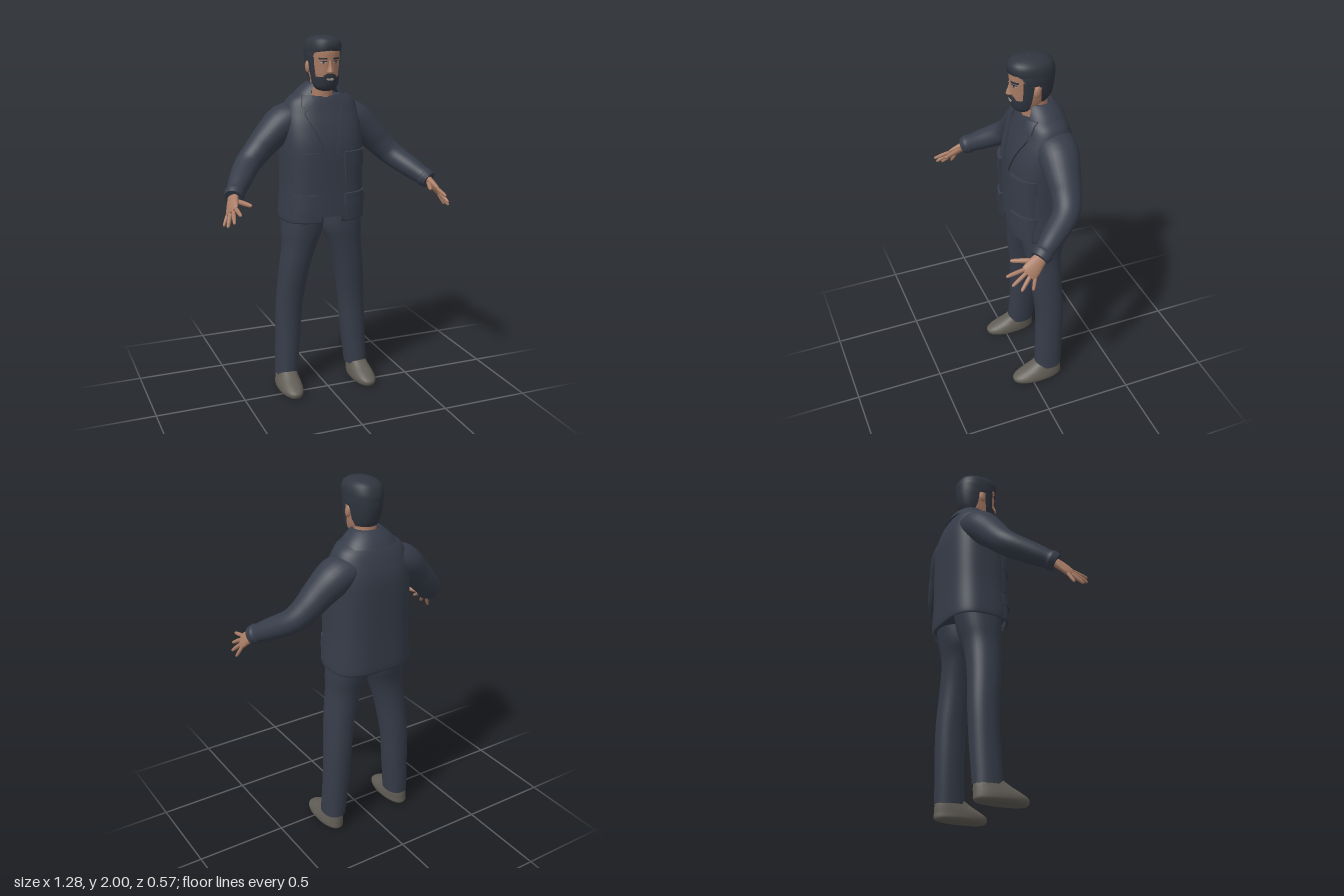
import * as THREE from 'three';
import { toCreasedNormals } from 'three/addons/utils/BufferGeometryUtils.js';

const mat = (name, color, side = THREE.FrontSide) => {
  const m = new THREE.MeshStandardMaterial({ color, side });
  m.name = name;
  return m;
};

// Catmull-Rom smoothing of a table of rows, every column alike
function smooth(rows, n = 4) {
  const out = [], last = rows.length - 1;
  for (let i = 0; i < last; i++) {
    const [a, b, c, d] = [rows[Math.max(i - 1, 0)], rows[i], rows[i + 1], rows[Math.min(i + 2, last)]];
    for (let k = 0; k < n; k++) {
      const t = k / n;
      out.push(b.map((v, j) => v + 0.5 * t * (c[j] - a[j] + t * (2 * a[j] - 5 * v + 4 * c[j] - d[j] + t * (3 * (v - c[j]) + d[j] - a[j])))));
    }
  }
  out.push(rows[last]);
  return out;
}

// Surface through rings of points; optionally closed around and capped
function loft(rings, closed = true, caps = true) {
  const pos = [], idx = [], n = rings[0].length;
  rings.forEach(r => r.forEach(p => pos.push(...p)));
  for (let i = 0; i < rings.length - 1; i++) {
    for (let j = 0; j < (closed ? n : n - 1); j++) {
      const k = (j + 1) % n, a = i * n + j, b = i * n + k;
      idx.push(a, b, a + n, b, b + n, a + n);
    }
  }
  if (caps) [rings[0], rings[rings.length - 1]].forEach((r, e) => {
    const s = pos.length / 3;
    r.forEach(p => pos.push(...p));
    pos.push(...[0, 1, 2].map(c => r.reduce((t, p) => t + p[c], 0) / n));
    for (let j = 0; j < n; j++) {
      const k = (j + 1) % n;
      e ? idx.push(s + n, s + j, s + k) : idx.push(s + n, s + k, s + j);
    }
  });
  const g = new THREE.BufferGeometry();
  g.setAttribute('position', new THREE.Float32BufferAttribute(pos, 3));
  g.setIndex(idx);
  g.computeVertexNormals();
  return g;
}

// Level superellipse ring. Row: [y, centreX, halfWidth, frontZ, backZ, power, opening]
const spow = (v, e) => Math.sign(v) * Math.abs(v) ** e;
function arc([y, cx, hw, zf, zb, p = 2.2], a0, a1, n, off = 0) {
  return Array.from({ length: n }, (_, i) => {
    const t = a0 + (a1 - a0) * i / (n - 1);
    return [cx + (hw + off) * spow(Math.sin(t), 2 / p), y,
      (zf + zb) / 2 + ((zf - zb) / 2 + off) * spow(Math.cos(t), 2 / p)];
  });
}
const body = (rows, off = 0, n = 32) => loft(rows.map(r => arc(r, 0, 2 * Math.PI, n + 1, off).slice(0, n)));
const openBody = (rows, angle) => loft(rows.map(r => arc(r, angle(r), 2 * Math.PI - angle(r), 49)), false, false);
const gapAngle = r => Math.asin((r[6] / r[2]) ** (r[5] / 2));

// Tapered limb along [x, y, z, radiusU, radiusV]; U leans towards ref
function limb(pts, ref, n = 20) {
  const rows = smooth(pts), v3 = r => new THREE.Vector3(r[0], r[1], r[2]);
  return loft(rows.map((r, i) => {
    const T = v3(rows[Math.min(i + 1, rows.length - 1)]).sub(v3(rows[Math.max(i - 1, 0)])).normalize();
    const U = new THREE.Vector3(...ref);
    U.addScaledVector(T, -U.dot(T)).normalize();
    const V = T.clone().cross(U);
    return Array.from({ length: n }, (_, j) => {
      const a = j / n * 2 * Math.PI;
      return v3(r).addScaledVector(U, Math.cos(a) * r[3]).addScaledVector(V, Math.sin(a) * r[4]).toArray();
    });
  }));
}

// Front depth of a body at (x, y)
function frontZ(rows, x, y) {
  let i = 0;
  while (i < rows.length - 2 && rows[i + 1][0] < y) i++;
  const t = THREE.MathUtils.clamp((y - rows[i][0]) / (rows[i + 1][0] - rows[i][0]), 0, 1);
  const [, cx, hw, zf, zb, p] = rows[i].map((v, j) => v + (rows[i + 1][j] - v) * t);
  const u = Math.min(Math.abs((x - cx) / hw), 1);
  return (zf + zb) / 2 + (zf - zb) / 2 * (1 - u ** p) ** (1 / p);
}

// Raised plate lying on the front of a body. Outline rows: [y, x0, x1]
function plate(rows, outline, thick) {
  const line = ([y, a, b], t) => {
    const xs = [a, ...Array.from({ length: 9 }, (_, i) => a + (b - a) * i / 8), b];
    return xs.map((x, i) => [x, y, frontZ(rows, x, y) + (i === 0 || i === 10 ? -0.004 : t)]);
  };
  const fine = smooth(outline, 3);
  const rings = [line(fine[0], -0.004), ...fine.map(r => line(r, thick)), line(fine[fine.length - 1], -0.004)];
  return toCreasedNormals(loft(rings, false, false), 0.7);
}

function mirror(geo) {
  const g = geo.index ? geo.toNonIndexed() : geo.clone();
  g.scale(-1, 1, 1);
  for (const a of Object.values(g.attributes)) {
    for (let i = 0; i < a.count; i += 3) {
      const b = [a.getX(i), a.getY(i), a.getZ(i)];
      a.setXYZ(i, a.getX(i + 1), a.getY(i + 1), a.getZ(i + 1));
      a.setXYZ(i + 1, ...b);
    }
  }
  return g;
}

const JACKET = smooth([
  [1.0, 0, 0.232, 0.052, -0.28, 2.8, 0.058], [1.03, 0, 0.237, 0.058, -0.286, 2.8, 0.056],
  [1.2, 0, 0.226, 0.056, -0.284, 2.8, 0.04], [1.4, 0, 0.226, 0.056, -0.286, 2.8, 0.03],
  [1.52, 0, 0.225, 0.035, -0.284, 2.6, 0.045], [1.6, 0, 0.212, 0.01, -0.266, 2.4, 0.07],
  [1.66, 0, 0.185, -0.01, -0.242, 2.3, 0.085], [1.7, 0, 0.13, -0.03, -0.212, 2.2, 0.08],
  [1.735, 0, 0.085, -0.045, -0.185, 2, 0.06]]);
const HEAD = smooth([
  [1.715, 0, 0.035, 0.0, -0.07, 2.2], [1.73, 0, 0.055, 0.016, -0.11, 2.2], [1.76, 0, 0.066, 0.026, -0.145, 2.2],
  [1.8, 0, 0.073, 0.032, -0.168, 2.2], [1.85, 0, 0.08, 0.034, -0.182, 2.2], [1.89, 0, 0.083, 0.038, -0.19, 2.2],
  [1.93, 0, 0.085, 0.035, -0.19, 2.2], [1.97, 0, 0.073, 0.012, -0.17, 2.2], [1.99, 0, 0.04, -0.03, -0.12, 2.2]]);

export function createModel() {
  const root = new THREE.Group();
  root.name = 'man';
  const cloth = mat('navy cloth', 0x363c49, THREE.DoubleSide);
  const hairM = mat('dark hair', 0x30353f, THREE.DoubleSide);
  const skin = mat('skin', 0xa97c65);
  const shoeM = mat('shoe grey', 0x615d56);
  const pale = mat('pale eye and lip', 0xb3a39a);
  const add = (name, geo, m) => {
    const mesh = new THREE.Mesh(geo, m);
    mesh.name = name;
    root.add(mesh);
  };
  const pair = (name, geo, m) => {
    add('left ' + name, geo, m);
    add('right ' + name, mirror(geo), m);
  };

  // Legs and shoes
  pair('trouser leg', body(smooth([
    [0.085, 0.217, 0.063, -0.03, -0.19], [0.3, 0.202, 0.07, -0.04, -0.2], [0.5, 0.19, 0.075, -0.04, -0.204],
    [0.7, 0.166, 0.083, -0.015, -0.196], [0.85, 0.135, 0.097, 0.0, -0.2],
    [0.95, 0.115, 0.117, 0.01, -0.225], [1.06, 0.11, 0.115, 0.01, -0.25]])), cloth);
  pair('shoe', body(smooth([
    [0, 0.223, 0.052, 0.095, -0.18], [0.012, 0.224, 0.064, 0.108, -0.19], [0.035, 0.224, 0.066, 0.108, -0.19],
    [0.06, 0.222, 0.062, 0.068, -0.19], [0.085, 0.22, 0.056, 0.015, -0.188], [0.115, 0.217, 0.05, -0.035, -0.18]])), shoeM);

  // Open jacket over a shirt
  add('jacket', openBody(JACKET, gapAngle), cloth);
  add('shirt', body(JACKET.filter(r => r[0] > 1.02 && r[0] < 1.685), -0.013, 40), cloth);
  add('collar', openBody(smooth([
    [1.675, 0, 0.155, -0.012, -0.246, 2.2, 0.095], [1.715, 0, 0.122, -0.025, -0.222, 2.2, 0.075],
    [1.75, 0, 0.08, -0.045, -0.186, 2.1, 0.055], [1.745, 0, 0.068, -0.055, -0.174, 2.1, 0.05],
    [1.69, 0, 0.062, -0.05, -0.17, 2.1, 0.05]]), gapAngle), cloth);
  pair('lapel', plate(JACKET, [[1.38, 0.03, 0.034], [1.5, 0.045, 0.085], [1.595, 0.068, 0.13],
    [1.615, 0.074, 0.105], [1.63, 0.078, 0.14], [1.69, 0.08, 0.125]], 0.01), cloth);
  for (const [name, y0, y1, x0, x1, t] of [
    ['upper pocket', 1.17, 1.33, 0.08, 0.208, 0.01], ['upper pocket flap', 1.305, 1.39, 0.074, 0.213, 0.019],
    ['lower pocket', 1.01, 1.13, 0.085, 0.213, 0.01], ['lower pocket flap', 1.09, 1.16, 0.078, 0.216, 0.019]])
    pair(name, plate(JACKET, [[y0, x0, x1], [y1, x0, x1]], t), cloth);

  // Sleeves with cuffs
  pair('sleeve', limb([
    [0.1, 1.58, -0.145, 0.07, 0.1], [0.2, 1.54, -0.143, 0.095, 0.108], [0.3, 1.455, -0.13, 0.082, 0.09],
    [0.365, 1.388, -0.12, 0.073, 0.078], [0.43, 1.325, -0.088, 0.066, 0.07], [0.5, 1.262, 0.01, 0.058, 0.06],
    [0.54, 1.226, 0.07, 0.05, 0.05], [0.55, 1.217, 0.085, 0.054, 0.054], [0.564, 1.203, 0.108, 0.047, 0.047]], [0, 1, 0], 28), cloth);

  // Hands
  const spread = [0.4, -0.5, -0.78];
  pair('palm', limb([[0.555, 1.215, 0.08, 0.03, 0.024], [0.572, 1.187, 0.125, 0.04, 0.021],
    [0.588, 1.156, 0.165, 0.046, 0.016], [0.594, 1.144, 0.182, 0.036, 0.009]], spread), skin);
  const tips = [[0.575, 1.15, 0.287], [0.604, 1.106, 0.267], [0.628, 1.08, 0.228], [0.634, 1.072, 0.168]];
  const finger = (name, a, b, r) => {
    const P = (t, s) => [...a.map((v, i) => v + (b[i] - v) * t), r * s, r * s];
    pair(name, limb([P(-0.15, 0.9), P(0.4, 1), P(0.85, 0.8), P(0.97, 0.5), P(1, 0.1)], [0.3, 0.8, -0.5], 10), skin);
  };
  tips.forEach((tip, i) => {
    const k = -0.035 + i * 0.0233;
    finger(['index', 'middle', 'ring', 'little'][i] + ' finger',
      [0.59 + 0.4 * k, 1.15 - 0.5 * k, 0.172 - 0.78 * k], tip, i === 3 ? 0.0095 : 0.011);
  });
  finger('thumb', [0.556, 1.19, 0.125], [0.505, 1.184, 0.24], 0.013);

  // Neck, head, ears and nose
  add('neck', body([[1.62, 0, 0.07, -0.03, -0.17], [1.7, 0, 0.058, -0.03, -0.165], [1.8, 0, 0.058, -0.02, -0.16]]), skin);
  add('head', body(HEAD), skin);
  const ear = new THREE.SphereGeometry(1, 14, 10).scale(0.012, 0.032, 0.02).rotateX(-0.15).translate(0.086, 1.836, -0.076);
  pair('ear', ear, skin);
  add('nose', body(smooth([[1.804, 0, 0.011, 0.043, 0], [1.812, 0, 0.019, 0.058, 0], [1.825, 0, 0.015, 0.056, 0],
    [1.85, 0, 0.009, 0.047, 0], [1.88, 0, 0.008, 0.038, 0]]), 0, 16), skin);

  // Hair, beard and sideburns
  const hair = [[1.765, 0, 0.066, 0.02, -0.163, 2.2, 1.95], [1.8, 0, 0.08, 0.04, -0.186, 2.2, 1.78],
    [1.86, 0, 0.09, 0.045, -0.195, 2.2, 1.72], [1.878, 0, 0.092, 0.045, -0.197, 2.2, 1.1],
    [1.915, 0, 0.095, 0.046, -0.198, 2.2, 0.9], [1.925, 0, 0.095, 0.046, -0.198, 2.2, 0],
    [1.955, 0, 0.093, 0.046, -0.192, 2.2, 0], [1.975, 0, 0.083, 0.038, -0.18, 2.2, 0],
    [1.99, 0, 0.064, 0.016, -0.152, 2.2, 0], [1.998, 0, 0.038, -0.02, -0.11, 2.2, 0], [2, 0, 0.002, -0.06, -0.064, 2.2, 0]];
  add('hair', openBody(hair, r => r[6]), hairM);
  const jaw = HEAD.filter(r => r[0] < 1.795);
  add('beard', loft(jaw.map(r => arc(r, -1.45, 1.45, 33, 0.008)), false, false), hairM);
  add('beard underside', body([[1.711, 0, 0.025, -0.005, -0.055], [1.717, 0, 0.042, 0.006, -0.07]]), hairM);
  pair('sideburn', loft(HEAD.filter(r => r[0] > 1.78 && r[0] < 1.9).map(r => arc(r, 0.98, 1.45, 9, 0.008)), false, false), hairM);

  // Face details
  add('moustache', plate(HEAD, [[1.782, -0.034, 0.034], [1.795, -0.032, 0.032], [1.805, -0.016, 0.016]], 0.009), hairM);
  add('mouth', plate(HEAD, [[1.77, -0.014, 0.014], [1.777, -0.02, 0.02], [1.782, -0.014, 0.014]], 0.011), pale);
  pair('eye', plate(HEAD, [[1.859, 0.026, 0.042], [1.864, 0.02, 0.05], [1.869, 0.026, 0.044]], 0.002), pale);
  pair('iris', plate(HEAD, [[1.858, 0.031, 0.039], [1.87, 0.031, 0.039]], 0.0035), hairM);
  pair('upper eyelid', plate(HEAD, [[1.868, 0.018, 0.052], [1.872, 0.022, 0.048]], 0.004), hairM);
  pair('eyebrow', plate(HEAD, [[1.879, 0.016, 0.055], [1.888, 0.019, 0.057]], 0.005), hairM);
  return root;
}
